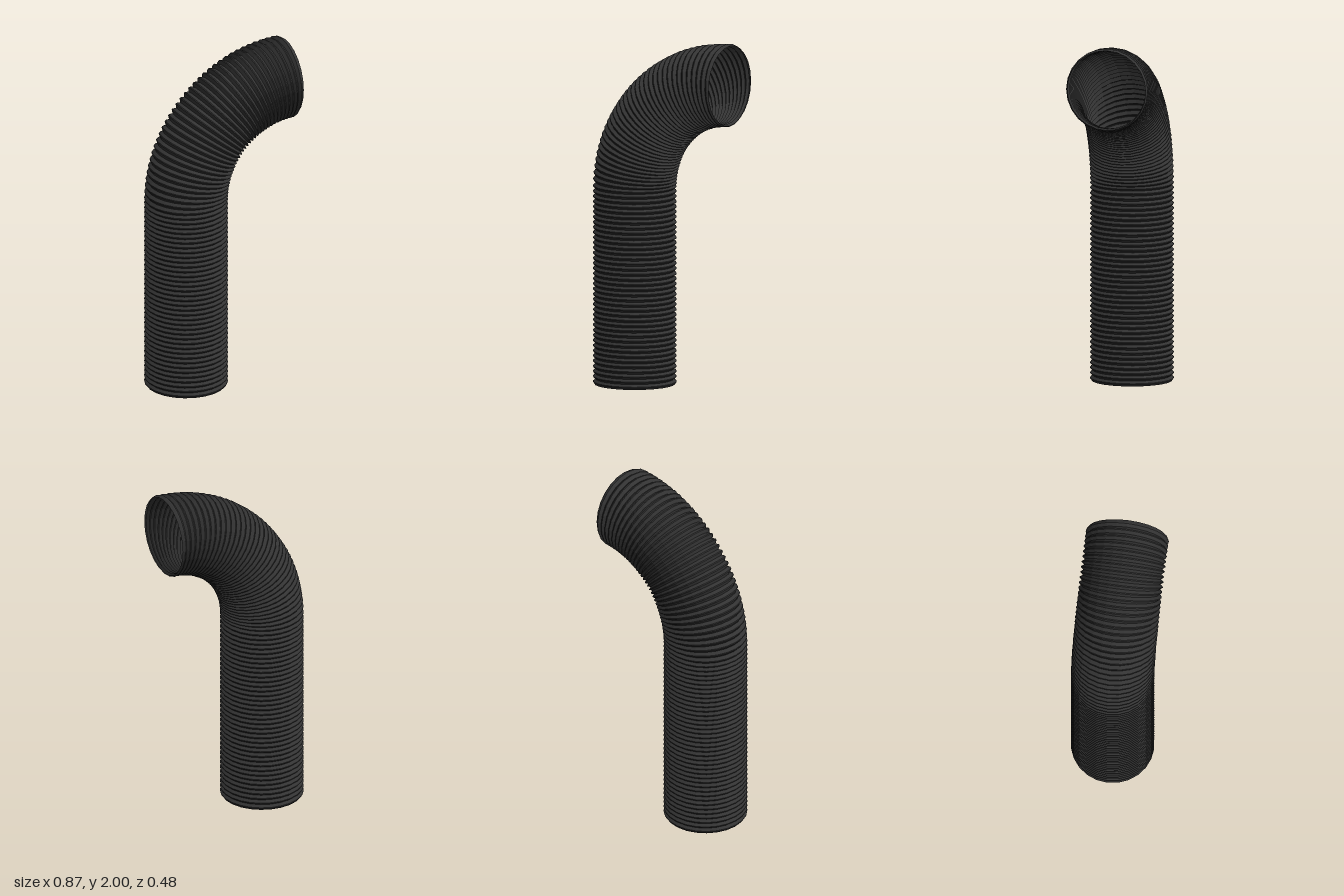
import * as THREE from 'three';

const SIDES = 24, RIDGES = 72;
const VALLEY = 0.222, PEAK = 0.238;
const START_X = -0.2, STRAIGHT = 1.13, BEND = 0.635;
const LENGTH = STRAIGHT + BEND * Math.PI / 2;

// Centre line: straight riser, then a quarter bend towards +x
function frameAt(s) {
  if (s <= STRAIGHT) return { x: START_X, y: s, angle: 0 };
  const angle = (s - STRAIGHT) / BEND;
  return {
    x: START_X + BEND * (1 - Math.cos(angle)),
    y: STRAIGHT + BEND * Math.sin(angle),
    angle,
  };
}

// Rings along the hose: valley, then a narrow flat peak, for each ridge
function ringList() {
  const rings = [];
  const pitch = LENGTH / RIDGES;
  for (let i = 0; i < RIDGES; i++) {
    rings.push([i * pitch, i === 0 ? 0.229 : VALLEY]);
    rings.push([(i + 0.42) * pitch, PEAK], [(i + 0.58) * pitch, PEAK]);
  }
  rings.push([LENGTH, 0.229]);
  return rings;
}

function corrugatedHose() {
  const positions = [], indices = [];
  const rings = ringList();
  for (const [s, radius] of rings) {
    const { x, y, angle } = frameAt(s);
    for (let j = 0; j < SIDES; j++) {
      const t = j / SIDES * Math.PI * 2;
      const across = radius * Math.cos(t);
      positions.push(
        x + across * Math.cos(angle),
        y - across * Math.sin(angle),
        radius * Math.sin(t)
      );
    }
  }
  for (let i = 0; i < rings.length - 1; i++) {
    for (let j = 0; j < SIDES; j++) {
      const k = (j + 1) % SIDES;
      const a = i * SIDES + j, b = i * SIDES + k;
      const c = a + SIDES, d = b + SIDES;
      indices.push(a, c, b, b, c, d);
    }
  }
  const geometry = new THREE.BufferGeometry();
  geometry.setAttribute('position', new THREE.Float32BufferAttribute(positions, 3));
  geometry.setIndex(indices);
  geometry.computeVertexNormals();
  return geometry;
}

export function createModel() {
  const rubber = new THREE.MeshStandardMaterial({
    color: 0x333333, flatShading: true, side: THREE.DoubleSide,
  });
  rubber.name = 'dark rubber';

  // Open-ended ribbed hose
  const hose = new THREE.Mesh(corrugatedHose(), rubber);
  hose.name = 'corrugatedHose';

  const model = new THREE.Group();
  model.name = 'bentHose';
  model.add(hose);
  return model;
}
